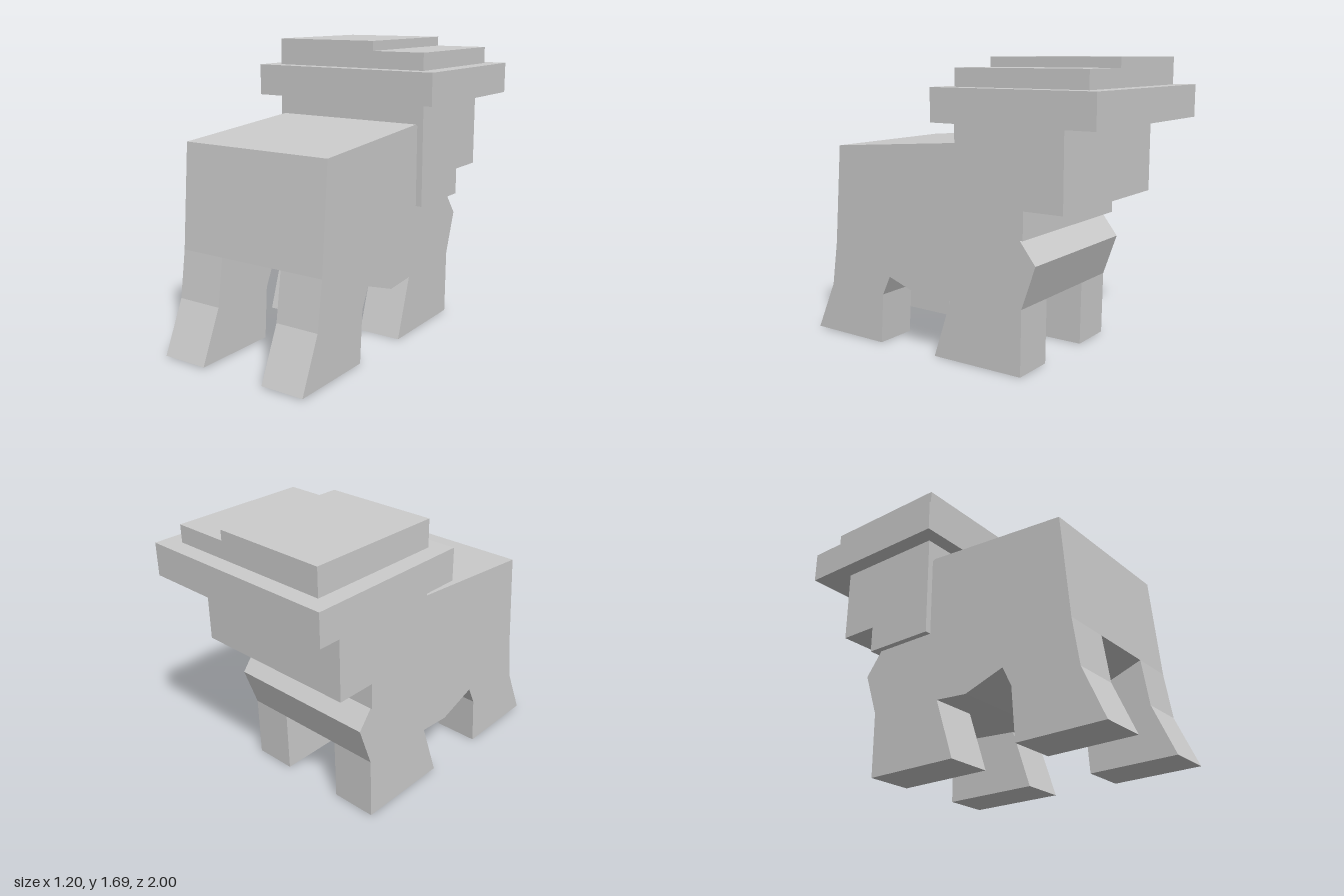
import * as THREE from 'three';

const grey = new THREE.MeshStandardMaterial({ color: 0xcccccc, flatShading: true });

// Extrudes a side outline of [z, y] points across the width x0..x1
function sideSlab(name, outline, x0, x1) {
  const shape = new THREE.Shape(outline.map(([z, y]) => new THREE.Vector2(-z, y)));
  const geo = new THREE.ExtrudeGeometry(shape, { depth: x1 - x0, bevelEnabled: false });
  geo.translate(0, 0, x0).rotateY(Math.PI / 2);
  const mesh = new THREE.Mesh(geo, grey);
  mesh.name = name;
  return mesh;
}

// Box given by its limits on each axis
function block(name, [x0, x1], [y0, y1], [z0, z1]) {
  const mesh = new THREE.Mesh(new THREE.BoxGeometry(x1 - x0, y1 - y0, z1 - z0), grey);
  mesh.position.set((x0 + x1) / 2, (y0 + y1) / 2, (z0 + z1) / 2);
  mesh.name = name;
  return mesh;
}

export function createModel() {
  const model = new THREE.Group();
  model.name = 'animal';

  // Outline shared by the torso and both flanks
  const back = [[-0.51, 0.375], [-0.595, 0.62], [-0.49, 0.755], [-0.105, 1.22],
    [-0.09, 1.23], [0.78, 1.165], [0.83, 0.57]];
  const belly = [[0.405, 0.415], [0.16, 0.33], [-0.04, 0.345]];

  // Torso between the legs, and a flank with two legs on each side
  const torso = [...back, ...belly];
  const flank = [...back, [0.87, 0.3], [1, 0.005], [0.48, 0], [0.46, 0.3],
    ...belly, [0.075, 0], [-0.505, 0]];
  model.add(
    sideSlab('torso', torso, -0.19, 0.205),
    sideSlab('rightFlankAndLegs', flank, -0.465, -0.19),
    sideSlab('leftFlankAndLegs', flank, 0.205, 0.463),
  );

  // Head with a stepped-back jaw
  model.add(sideSlab('head', [[-0.105, 0.755], [-0.54, 0.755], [-0.54, 0.91],
    [-0.775, 0.91], [-0.775, 1.345], [-0.105, 1.345]], -0.502, 0.5));

  // Flat cap: wide brim and a crown in two heights
  const cap = new THREE.Group();
  cap.name = 'cap';
  cap.add(
    block('brim', [-0.6, 0.597], [1.345, 1.53], [-1, -0.02]),
    block('highCrown', [-0.5, 0.165], [1.53, 1.687], [-0.905, -0.105]),
    block('lowCrown', [0.165, 0.495], [1.53, 1.63], [-0.905, -0.105]),
  );
  model.add(cap);
  return model;
}
